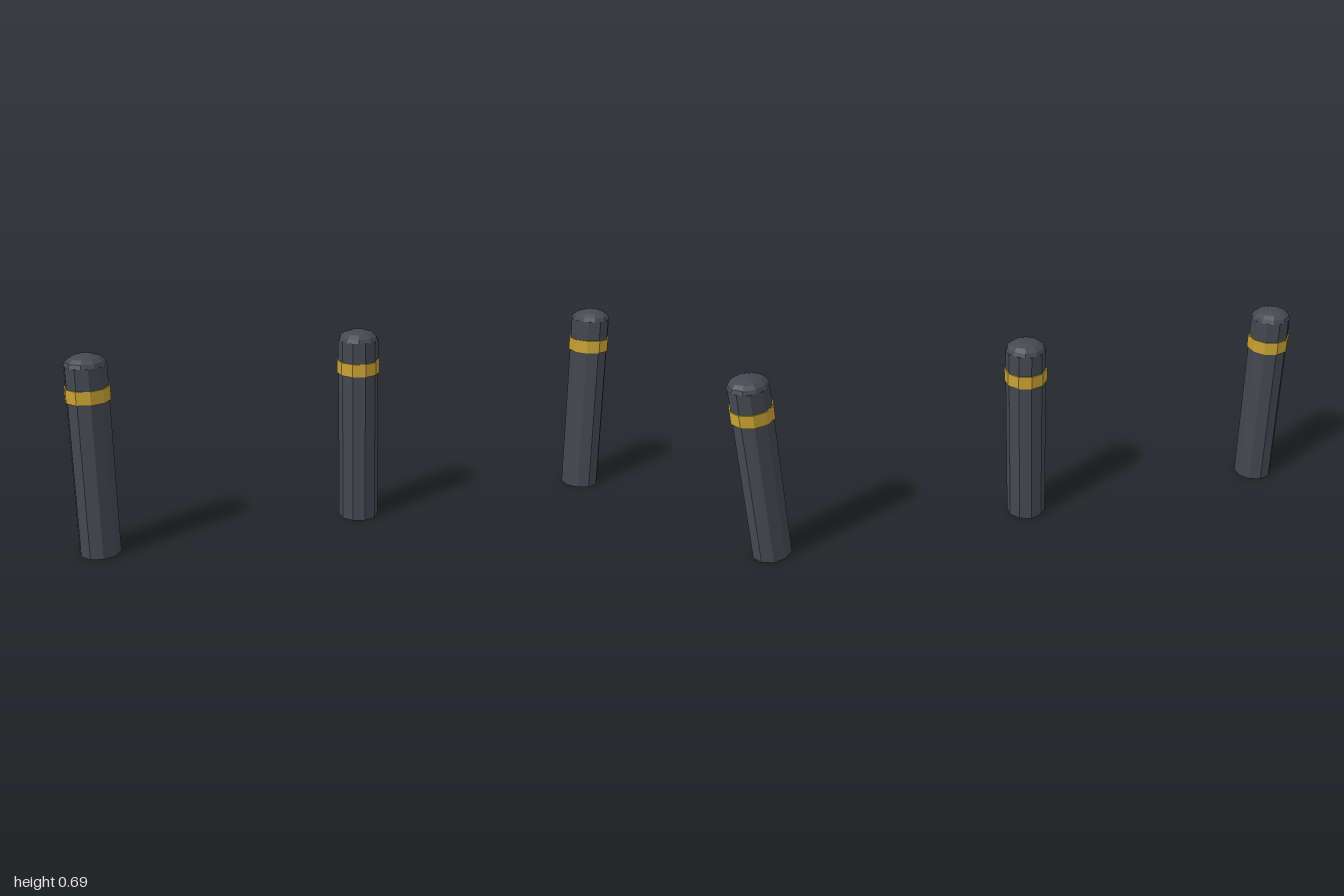
import * as THREE from 'three';

const SIDES = 10;
const RADIUS = 0.07;
const BODY_HEIGHT = 0.655;

export function createModel() {
  const iron = new THREE.MeshStandardMaterial({ color: 0x444850, flatShading: true });
  iron.name = 'darkIron';
  const gold = new THREE.MeshStandardMaterial({ color: 0xc9a233, flatShading: true });
  gold.name = 'goldBand';

  // Shared geometries, each placed with its base at the right height
  const bodyGeo = new THREE.CylinderGeometry(RADIUS, RADIUS, BODY_HEIGHT, SIDES)
    .translate(0, BODY_HEIGHT / 2, 0);
  const domeGeo = new THREE.SphereGeometry(RADIUS, SIDES, 4, 0, Math.PI * 2, 0, Math.PI / 2)
    .scale(1, 0.5, 1).translate(0, BODY_HEIGHT, 0);
  const bandGeo = new THREE.CylinderGeometry(0.0745, 0.0745, 0.046, SIDES)
    .translate(0, 0.56, 0);

  const part = (name, geometry, material) => {
    const mesh = new THREE.Mesh(geometry, material);
    mesh.name = name;
    return mesh;
  };

  // Three identical bollards in a row
  const model = new THREE.Group();
  model.name = 'bollardRow';
  [['rightBollard', -0.929], ['middleBollard', 0], ['leftBollard', 0.929]].forEach(([name, x]) => {
    const bollard = new THREE.Group();
    bollard.name = name;
    bollard.position.x = x;
    bollard.add(
      part('post', bodyGeo, iron),
      part('domeCap', domeGeo, iron),
      part('band', bandGeo, gold)
    );
    model.add(bollard);
  });
  return model;
}
